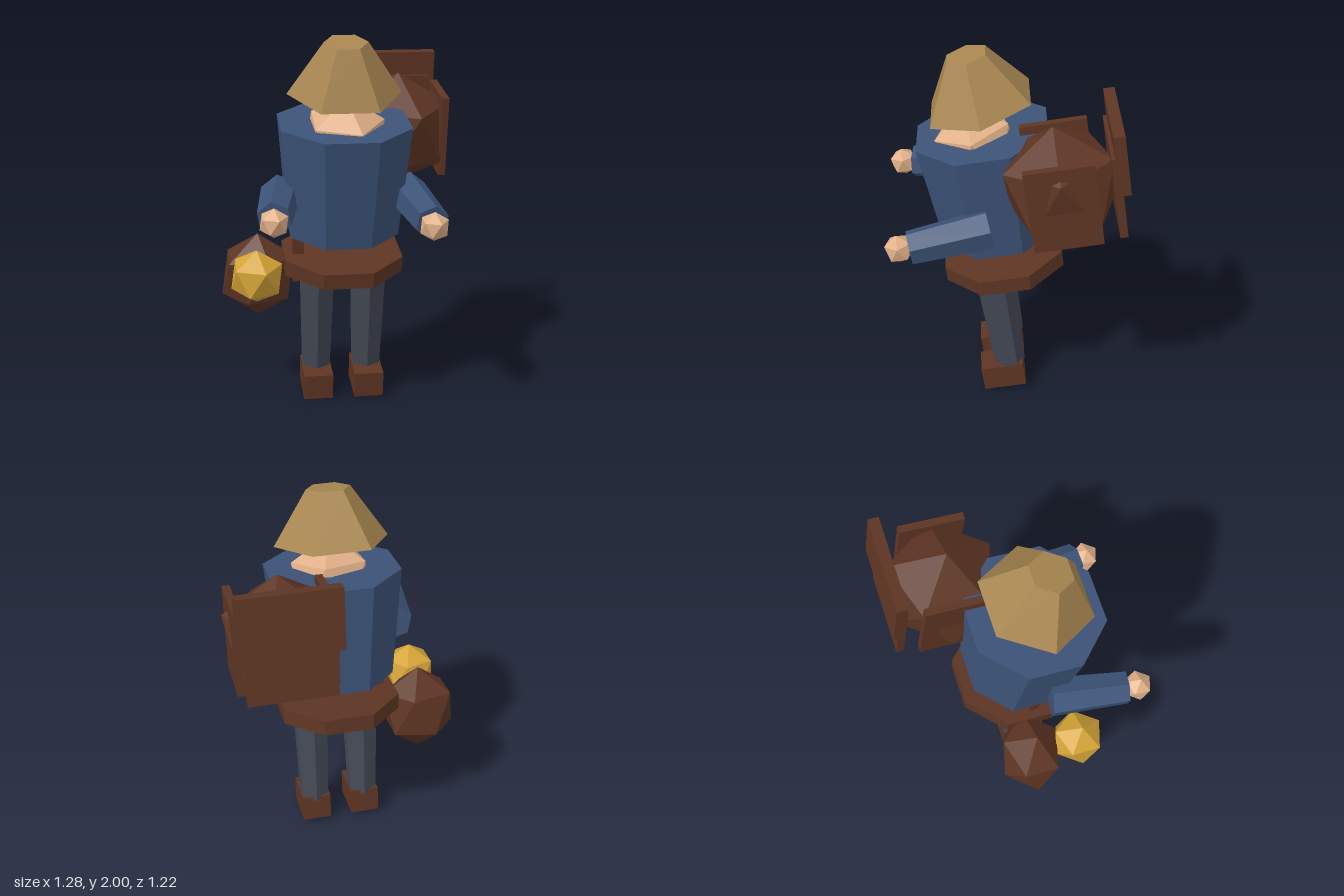
import * as THREE from 'three';

const mat = (name, color) => {
  const m = new THREE.MeshStandardMaterial({ color, flatShading: true });
  m.name = name;
  return m;
};

export function createModel() {
  const shirt = mat('blue cloth', 0x3c5378);
  const straw = mat('straw', 0xa88650);
  const skin = mat('skin', 0xe0b088);
  const leather = mat('brown leather', 0x5e3523);
  const gold = mat('gold', 0xd4a437);
  const trousers = mat('grey cloth', 0x444955);

  const model = new THREE.Group();
  model.name = 'traveller';
  // Everything but the arms shares one forward lean
  const body = new THREE.Group();
  body.name = 'leaningBody';
  body.position.set(0.01, 0.019, -0.129);
  body.rotation.x = 0.15;
  model.add(body);

  const add = (parent, name, geometry, material, x, y, z) => {
    const mesh = new THREE.Mesh(geometry, material);
    mesh.name = name;
    mesh.position.set(x, y, z);
    parent.add(mesh);
    return mesh;
  };
  const box = (w, h, d) => new THREE.BoxGeometry(w, h, d);
  // Prism with a flat side facing the front
  const prism = (top, bottom, height, sides) =>
    new THREE.CylinderGeometry(top, bottom, height, sides).rotateY(Math.PI / sides);
  // Icosahedron standing on a corner
  const gem = (rx, ry = rx, rz = rx) =>
    new THREE.IcosahedronGeometry(1, 0).rotateZ(-0.5536).scale(rx, ry, rz);

  // Torso and belt
  add(body, 'torso', prism(0.368, 0.312, 0.604, 8), shirt, 0, 1.257, 0);
  add(body, 'belt', prism(0.343, 0.343, 0.085, 8), leather, 0, 0.782, 0);

  // Head and hat, nodding a little further
  add(body, 'head', gem(0.229), skin, 0, 1.481, 0.041).rotation.x = 0.1;
  add(body, 'hat', prism(0.115, 0.3, 0.277, 6), straw, 0, 1.845, -0.002).rotation.x = 0.1;

  // Legs and boots
  for (const side of [-1, 1]) {
    add(body, 'leg', new THREE.CylinderGeometry(0.104, 0.085, 0.64, 6), trousers,
      side * 0.14, 0.46, 0.065);
    add(body, 'boot', box(0.16, 0.145, 0.235), leather, side * 0.14, 0.088, 0.11);
  }

  // Hip pouch, its strap and the lantern
  add(body, 'pouchStrap', box(0.06, 0.35, 0.05), leather, -0.24, 0.835, 0.025);
  add(body, 'pouch', gem(0.218, 0.245, 0.178), leather, -0.455, 0.673, -0.032);
  add(body, 'lantern', gem(0.15), gold, -0.475, 0.787, 0.219);

  // Backpack: round sack between boards, with a thick flap behind
  const pack = new THREE.Group();
  pack.name = 'backpack';
  pack.position.set(0.345, 1.381, -0.367);
  body.add(pack);
  add(pack, 'sack', gem(0.32), leather, 0, 0, 0);
  for (const side of [-1, 1]) {
    add(pack, 'sideBoard', box(0.04, 0.445, 0.345), leather, side * 0.235, 0, 0);
  }
  add(pack, 'backBoard', box(0.45, 0.445, 0.04), leather, 0, 0, -0.272);
  add(pack, 'flap', box(0.515, 0.32, 0.057), leather, 0, 0.195, -0.299);

  // Arms reaching forward, and hands
  const arms = [
    { from: [0.348, 1.17, 0.073], to: [0.41, 1.1, 0.478], hand: [0.41, 1.095, 0.53] },
    { from: [-0.325, 1.175, 0.085], to: [-0.39, 1.148, 0.482], hand: [-0.395, 1.145, 0.542] },
  ];
  for (const { from, to, hand } of arms) {
    const a = new THREE.Vector3(...from);
    const b = new THREE.Vector3(...to);
    const dir = b.clone().sub(a);
    const mid = a.clone().add(b).multiplyScalar(0.5);
    const arm = add(model, 'arm', new THREE.CylinderGeometry(0.09, 0.108, dir.length(), 6),
      shirt, mid.x, mid.y, mid.z);
    arm.quaternion.setFromUnitVectors(new THREE.Vector3(0, 1, 0), dir.normalize());
    add(model, 'hand', gem(0.079), skin, ...hand).rotation.x = 0.15;
  }
  return model;
}
